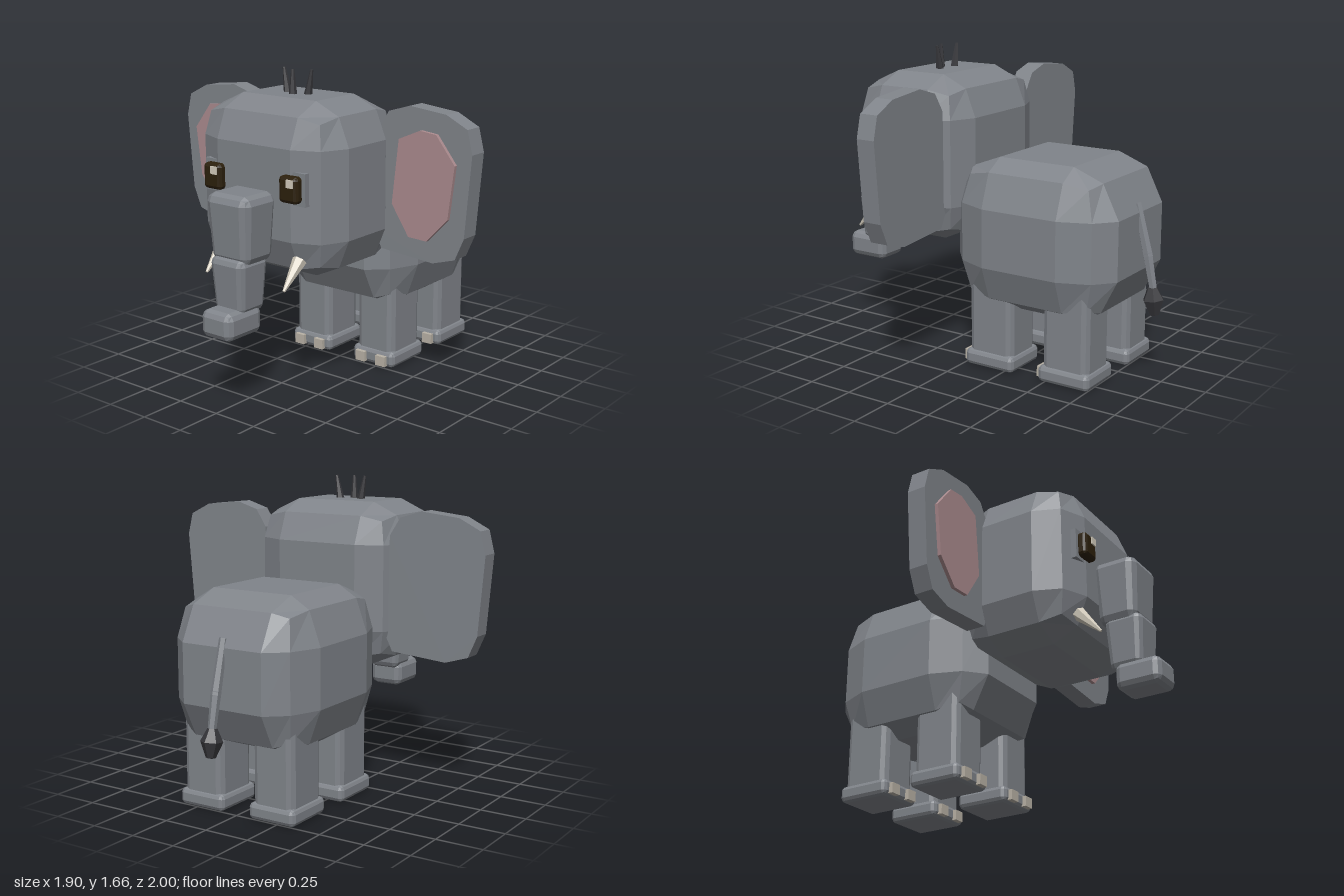
import * as THREE from 'three';

const mat = (name, color) => {
  const m = new THREE.MeshStandardMaterial({ color });
  m.name = name;
  return m;
};

export function createModel() {
  const root = new THREE.Group();
  root.name = 'elephant';
  const skin = mat('grey skin', 0x80848a);
  const pink = mat('inner ear pink', 0xab8b8e);
  const ivory = mat('ivory', 0xd3ccbd);
  const nailMat = mat('toenail beige', 0xb9b2a6);
  const eyeMat = mat('eye brown', 0x2c200c);
  const hairMat = mat('dark hair', 0x37373b);

  // Flat-shaded mesh placed in the model
  function add(name, geometry, material, x = 0, y = 0, z = 0) {
    const g = geometry.index ? geometry.toNonIndexed() : geometry;
    g.computeVertexNormals();
    const mesh = new THREE.Mesh(g, material);
    mesh.name = name;
    mesh.position.set(x, y, z);
    root.add(mesh);
    return mesh;
  }

  // Box in three segments per axis: faces reach the full half size,
  // edges and corners are pulled in. inner = where the face flattens.
  function block(half, inner, edge, taper = 1) {
    const g = new THREE.BoxGeometry(2, 2, 2, 3, 3, 3);
    const p = g.attributes.position;
    for (let i = 0; i < p.count; i++) {
      const v = [p.getX(i), p.getY(i), p.getZ(i)];
      const outer = v.filter(c => Math.abs(c) > 0.9).length;
      const w = v.map((c, k) => {
        const pull = 1 - edge[k];
        const f = Math.abs(c) < 0.9 ? inner[k] : [1, 1, 1 - pull, 1 - 1.4 * pull][outer];
        return Math.sign(c) * half[k] * f;
      });
      // Taper narrows the lower end
      const s = 1 + (taper - 1) * (0.5 - w[1] / half[1] / 2);
      p.setXYZ(i, w[0] * s, w[1], w[2] * s);
    }
    return g;
  }

  // Block with a narrow bevel of width b
  const bevelled = (half, b, taper) =>
    block(half, half.map(h => 1 - b / h), half.map(h => 1 - 0.35 * b / h), taper);

  // Tapered rod between two points
  function rod(name, a, b, ra, rb, sides, material) {
    const from = new THREE.Vector3(...a), to = new THREE.Vector3(...b);
    const dir = to.clone().sub(from);
    const mesh = add(name, new THREE.CylinderGeometry(rb, ra, dir.length(), sides), material);
    mesh.position.copy(from).add(to).multiplyScalar(0.5);
    mesh.quaternion.setFromUnitVectors(new THREE.Vector3(0, 1, 0), dir.normalize());
    return mesh;
  }

  // Upright plate from an outline, mirrored by side
  function plate(name, points, side, z, depth, material) {
    const shape = new THREE.Shape(points.map(([x, y]) => new THREE.Vector2(x * side, y)));
    add(name, new THREE.ExtrudeGeometry(shape, { depth, bevelEnabled: false }), material, 0, 0, z);
  }

  // Body and head
  add('body', block([0.41, 0.4, 0.478], [0.58, 0.39, 0.46], [0.84, 0.84, 0.81]), skin, 0, 0.73, -0.38);
  add('head', block([0.443, 0.444, 0.35], [0.54, 0.52, 0.43], [0.86, 0.855, 0.83]), skin, 0, 1.086, 0.343);

  // Trunk
  add('upperTrunk', bevelled([0.142, 0.178, 0.125], 0.045, 0.83), skin, 0, 0.92, 0.785);
  add('middleTrunk', bevelled([0.112, 0.145, 0.107], 0.035, 0.82), skin, 0, 0.637, 0.81);
  add('trunkTip', bevelled([0.1, 0.073, 0.125], 0.035), skin, 0, 0.455, 0.873);

  // Legs, feet and toenails
  for (const x of [-0.217, 0.217]) {
    for (const z of [-0.16, -0.613]) {
      add('leg', bevelled([0.121, 0.24, 0.135], 0.035), skin, x, 0.29, z);
      add('foot', bevelled([0.138, 0.045, 0.15], 0.024), skin, x, 0.045, z);
      for (const dx of [-0.068, 0.068])
        add('toenail', new THREE.BoxGeometry(0.062, 0.056, 0.05), nailMat, x + dx, 0.04, z + 0.147);
    }
  }

  // Ears
  const ear = [[0.37, 0.85], [0.42, 0.75], [0.735, 0.725], [0.865, 0.765], [0.915, 0.88], [0.95, 1.3],
    [0.92, 1.42], [0.8, 1.48], [0.585, 1.503], [0.46, 1.465], [0.4, 1.37]];
  const innerEar = [[0.497, 1.0], [0.6, 0.843], [0.71, 0.838], [0.83, 0.965],
    [0.865, 1.24], [0.755, 1.38], [0.66, 1.39], [0.535, 1.335]];
  for (const side of [-1, 1]) {
    plate('ear', ear, side, 0.087, 0.105, skin);
    plate('innerEar', innerEar, side, 0.18, 0.032, pink);

    // Eyes and tusks
    add('eyeSocket', new THREE.BoxGeometry(0.15, 0.165, 0.03), skin, side * 0.253, 1.128, 0.673);
    add('eye', bevelled([0.058, 0.067, 0.03], 0.018), eyeMat, side * 0.25, 1.128, 0.703);
    add('eyeHighlight', new THREE.BoxGeometry(0.04, 0.04, 0.009), ivory, side * 0.25 + 0.02, 1.162, 0.735);
    rod('tusk', [side * 0.258, 0.763, 0.65], [side * 0.26, 0.632, 0.775], 0.037, 0.007, 6, ivory);
  }

  // Hair tuft
  for (const i of [-1, 0, 1]) {
    const z = i ? 0.345 : 0.385;
    rod('hair', [i * 0.062, 1.5, z], [i * 0.091, 1.655, z], 0.025, 0.008, 6, hairMat);
  }

  // Tail
  rod('upperTail', [0, 0.93, -0.835], [0, 0.66, -0.905], 0.022, 0.027, 6, skin);
  rod('lowerTail', [0, 0.68, -0.9], [0, 0.46, -0.945], 0.027, 0.02, 6, skin);
  const tuft = [[0, -0.08], [0.025, -0.075], [0.057, 0.005], [0.025, 0.07], [0, 0.07]];
  const tip = add('tailTuft',
    new THREE.LatheGeometry(tuft.map(([r, y]) => new THREE.Vector2(r, y)), 6), hairMat, 0, 0.43, -0.942);
  tip.rotation.x = 0.12;

  return root;
}
